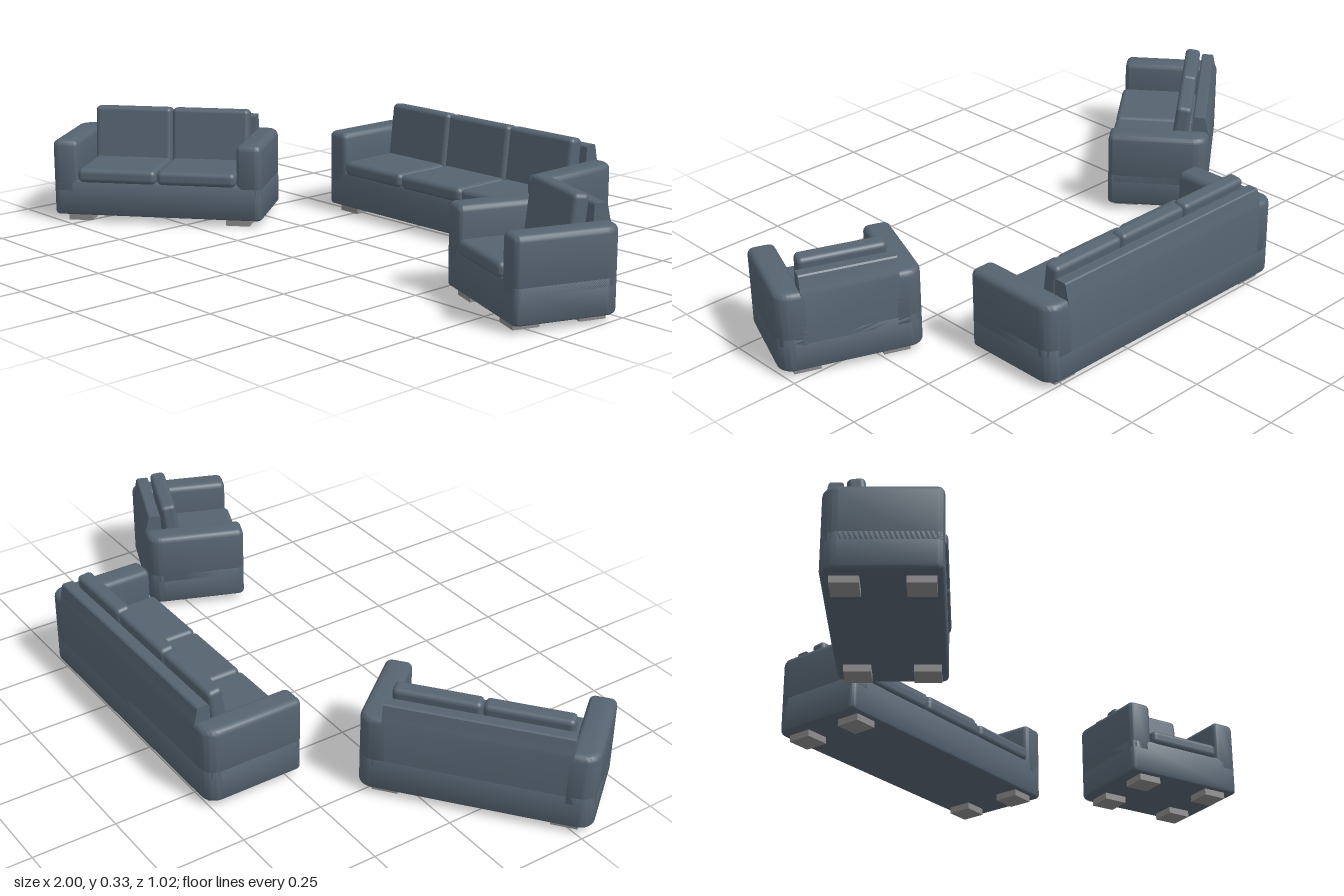
import * as THREE from 'three';
import { toCreasedNormals } from 'three/addons/utils/BufferGeometryUtils.js';
import { RoundedBoxGeometry } from 'three/addons/geometries/RoundedBoxGeometry.js';

const fabric = new THREE.MeshStandardMaterial({ color: 0x566471 });
const footMaterial = new THREE.MeshStandardMaterial({ color: 0x8c8a8c });

const SEAT = 0.25;      // width of one seat
const ARM = 0.078;      // width of an armrest
const HALF_D = 0.153;   // half the depth of a piece

function add(parent, name, geometry, material, x = 0, y = 0, z = 0) {
  const mesh = new THREE.Mesh(geometry, material);
  mesh.name = name;
  mesh.position.set(x, y, z);
  parent.add(mesh);
  return mesh;
}

// Plan outline (shape y = towards the back) with a radius for each corner:
// front left, front right, back right, back left
function plan(x0, x1, y0, y1, [a, b, c, d]) {
  const s = new THREE.Shape();
  const arc = (x, y, r, start) => {
    if (r > 0) s.absarc(x, y, r, start, start + Math.PI / 2, false);
    else s.lineTo(x, y);
  };
  s.moveTo(x0 + a, y0);
  arc(x1 - b, y0 + b, b, -Math.PI / 2);
  arc(x1 - c, y1 - c, c, 0);
  arc(x0 + d, y1 - d, d, Math.PI / 2);
  arc(x0 + a, y0 + a, a, Math.PI);
  return s;
}

// Upright block over a plan outline, with rounded top and bottom edges
function upright(shape, bottom, top, bevel) {
  const g = new THREE.ExtrudeGeometry(shape, {
    depth: top - bottom - 2 * bevel, curveSegments: 6,
    bevelEnabled: true, bevelThickness: bevel, bevelSize: bevel, bevelOffset: -bevel, bevelSegments: 4,
  });
  g.rotateX(-Math.PI / 2);
  g.translate(0, bottom + bevel, 0);
  return toCreasedNormals(g, 0.6);
}

function makeSeating(name, seats, x, z, turn) {
  const group = new THREE.Group();
  group.name = name;
  const inner = seats * SEAT;
  const half = inner / 2 + ARM;

  // Base with rounded rear corners
  add(group, 'base', upright(plan(-half, half, -HALF_D, HALF_D, [0.02, 0.02, 0.045, 0.045]), 0.02, 0.13, 0.01), fabric);

  // Armrests
  const arms = [
    ['leftArm', plan(half - ARM, half, -HALF_D, HALF_D, [0.018, 0.02, 0.045, 0])],
    ['rightArm', plan(-half, -half + ARM, -HALF_D, HALF_D, [0.02, 0.018, 0, 0.045])],
  ];
  for (const [armName, shape] of arms) add(group, armName, upright(shape, 0.08, 0.255, 0.018), fabric);

  // Backrest, tapering above the armrests
  const profile = new THREE.Shape([
    [0.095, 0.1], [HALF_D, 0.1], [HALF_D, 0.245], [0.149, 0.258],
    [0.141, 0.296], [0.137, 0.3], [0.107, 0.3], [0.103, 0.296],
  ].map(([px, py]) => new THREE.Vector2(px, py)));
  const back = new THREE.ExtrudeGeometry(profile, { depth: inner + 0.02, bevelEnabled: false });
  back.translate(0, 0, -inner / 2 - 0.01);
  back.rotateY(Math.PI / 2);
  // profile x now points to -z, the rear
  add(group, 'backrest', toCreasedNormals(back, 0.5), fabric);

  // Seat and back cushions
  for (let i = 0; i < seats; i++) {
    const cx = (i - (seats - 1) / 2) * SEAT;
    add(group, 'seatCushion', new RoundedBoxGeometry(SEAT - 0.003, 0.045, 0.25, 4, 0.016), fabric, cx, 0.146, 0.035);
    const cushion = add(group, 'backCushion', new RoundedBoxGeometry(SEAT - 0.003, 0.19, 0.048, 4, 0.014), fabric, cx, 0.23, -0.064);
    cushion.rotation.x = -0.12;
  }

  // Feet
  for (const sx of [-1, 1]) {
    for (const fz of [0.098, -0.092]) {
      add(group, 'foot', new THREE.BoxGeometry(0.075, 0.024, 0.075), footMaterial, sx * (half - 0.078), 0.012, fz);
    }
  }

  group.position.set(x, 0, z);
  group.rotation.y = THREE.MathUtils.degToRad(turn);
  return group;
}

export function createModel() {
  const model = new THREE.Group();
  model.name = 'sofaSet';
  model.add(
    makeSeating('threeSeatSofa', 3, 0.105, -0.36, 0),
    makeSeating('twoSeatSofa', 2, -0.658, 0.192, 38),
    makeSeating('armchair', 1, 0.774, 0.096, -21.5),
  );
  return model;
}
